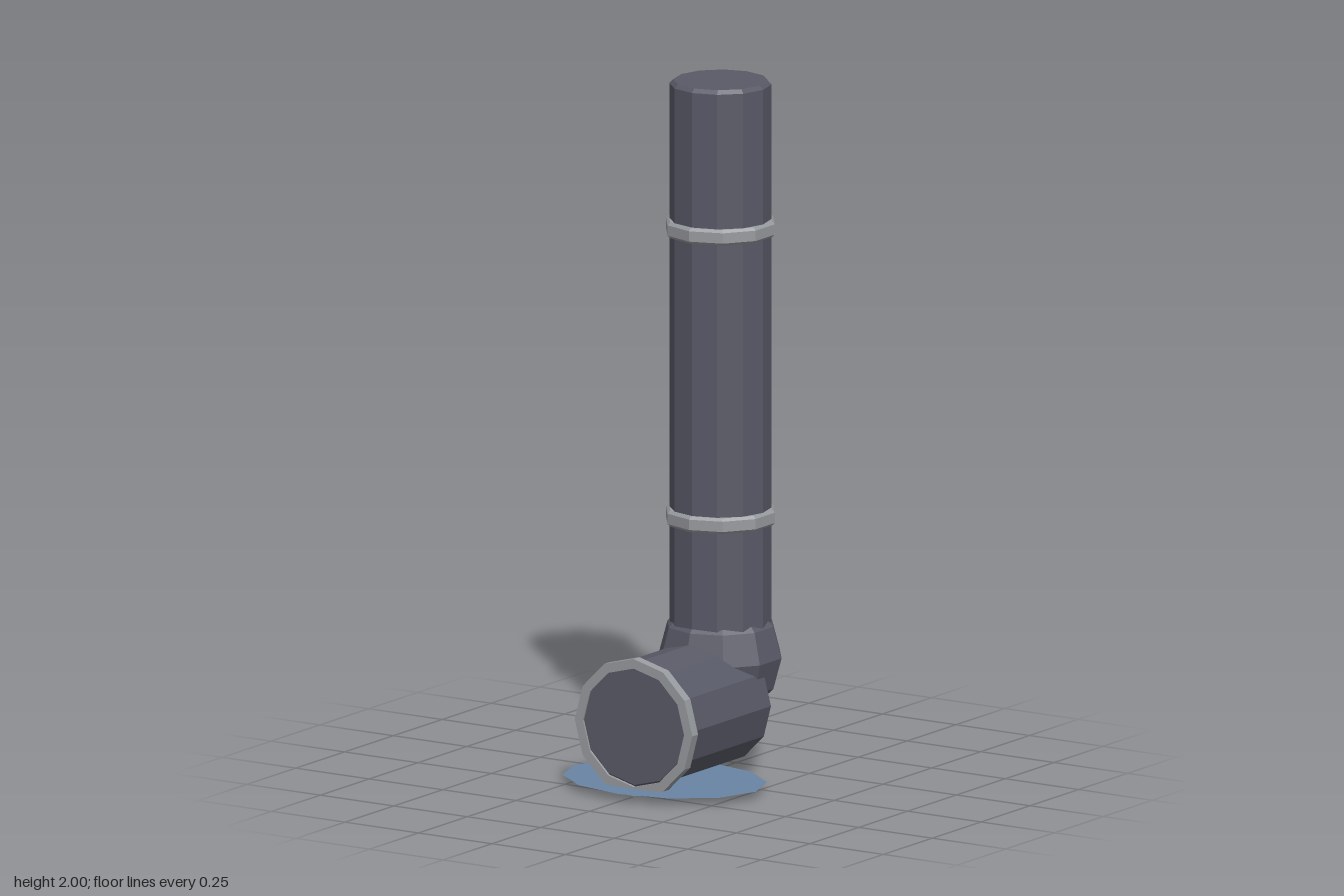
import * as THREE from 'three';

export function createModel() {
  const model = new THREE.Group();
  model.name = 'drainPipe';

  const pipeGrey = new THREE.MeshStandardMaterial({ color: 0x595a67, flatShading: true });
  pipeGrey.name = 'pipeGrey';
  const metal = new THREE.MeshStandardMaterial({ color: 0x989b9f, flatShading: true });
  metal.name = 'lightMetal';
  const water = new THREE.MeshStandardMaterial({ color: 0x6884a4, side: THREE.DoubleSide });
  water.name = 'waterBlue';

  const add = (name, geometry, material, x, y, z) => {
    const mesh = new THREE.Mesh(geometry, material);
    mesh.name = name;
    mesh.position.set(x, y, z);
    model.add(mesh);
    return mesh;
  };

  // Closed cylinder with chamfered rims, running from y0 to y1
  const chamfered = (r, y0, y1, c, sides) => new THREE.LatheGeometry([
    [0, y0], [r - c, y0], [r, y0 + c], [r, y1 - c], [r - c, y1], [0, y1],
  ].map(([x, y]) => new THREE.Vector2(x, y)), sides);

  const pipeZ = -0.17;

  // Upright pipe and its rounded elbow
  add('uprightPipe', chamfered(0.145, 0.32, 2, 0.011, 12), pipeGrey, 0, 0, pipeZ);
  const elbow = new THREE.SphereGeometry(0.18, 10, 6).rotateY(Math.PI / 2);
  add('elbow', elbow, pipeGrey, 0, 0.33, pipeZ);

  // Outlet pipe lying along z
  const outlet = chamfered(0.182, -0.165, 0.27, 0.01, 12).rotateX(Math.PI / 2);
  add('outletPipe', outlet, pipeGrey, 0, 0.206, 0);

  // Open collar around the mouth of the outlet
  const collar = new THREE.LatheGeometry([
    [0.172, 0.245], [0.2, 0.245], [0.2, 0.275], [0.172, 0.275], [0.172, 0.245],
  ].map(([x, y]) => new THREE.Vector2(x, y)), 12).rotateX(Math.PI / 2);
  add('outletCollar', collar, metal, 0, 0.201, 0);

  // Clamps, each with a wall tab at the back
  for (const y of [0.737, 1.575]) {
    add('clamp', chamfered(0.16, -0.023, 0.023, 0.008, 10), metal, 0, y, pipeZ);
    add('clampTab', new THREE.BoxGeometry(0.07, 0.035, 0.05), metal, 0, y, -0.332);
  }

  // Puddle under the outlet
  const puddle = new THREE.CircleGeometry(1, 12).rotateX(-Math.PI / 2).scale(0.31, 1, 0.24);
  add('puddle', puddle, water, 0, 0.024, 0.115);

  return model;
}
